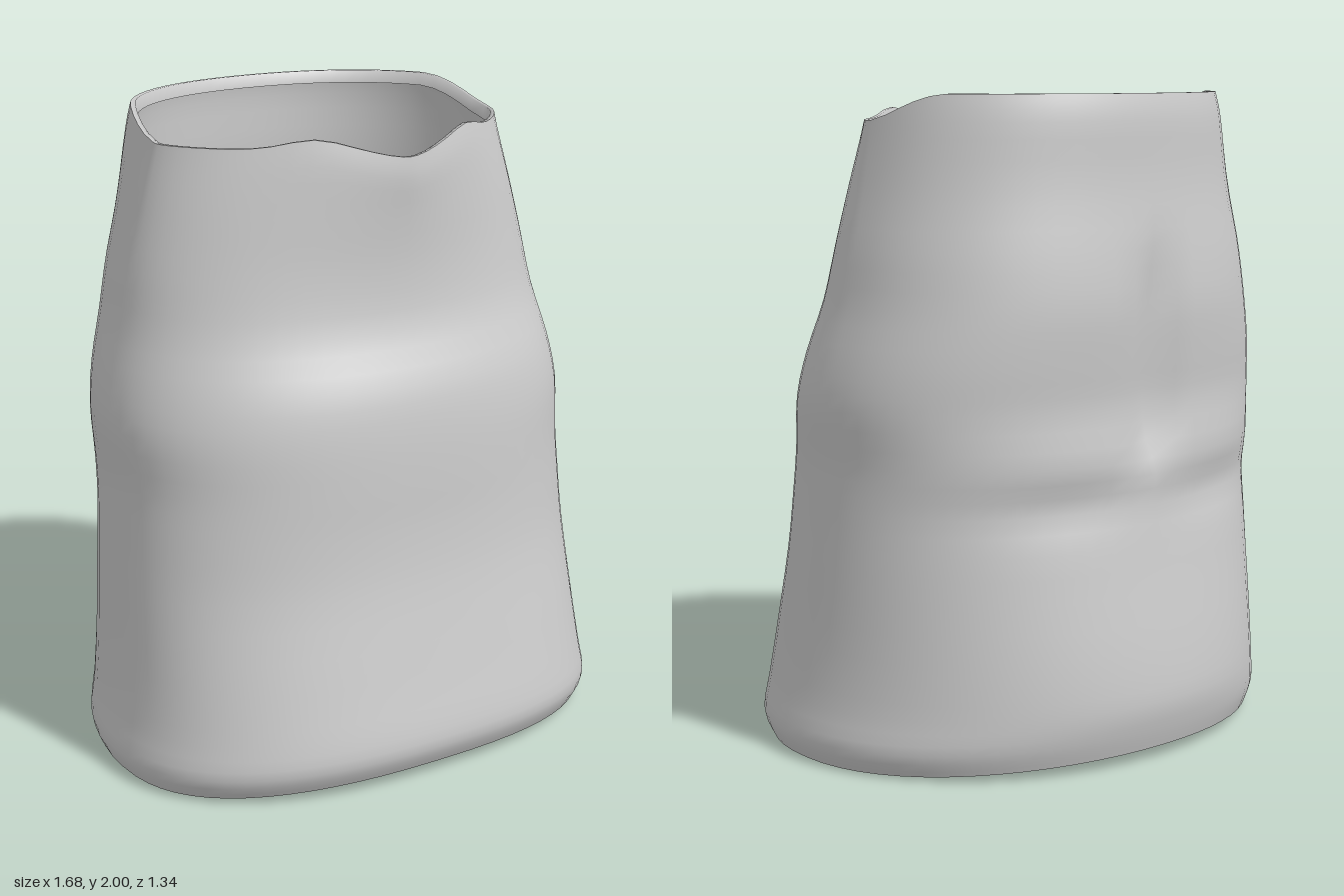
import * as THREE from 'three';

// Cross-sections from hem to waist:
// [height, half width, front z, back z, z of widest point, front roundness, back roundness]
const SECTIONS = [
  [0.00, 0.815, 0.64, -0.63, 0.08, 2.4, 2.05],
  [0.07, 0.84, 0.67, -0.65, 0.08, 2.4, 2.05],
  [0.18, 0.82, 0.66, -0.665, 0.08, 2.4, 2.05],
  [0.35, 0.80, 0.625, -0.65, 0.07, 2.4, 2.1],
  [0.60, 0.785, 0.575, -0.61, 0.05, 2.3, 2.15],
  [0.78, 0.775, 0.555, -0.59, 0.03, 2.3, 2.15],
  [0.92, 0.77, 0.55, -0.595, 0.02, 2.25, 2.2],
  [1.08, 0.78, 0.54, -0.575, 0.00, 2.2, 2.2],
  [1.22, 0.76, 0.515, -0.585, -0.02, 2.15, 2.2],
  [1.38, 0.72, 0.45, -0.595, -0.03, 2.1, 2.2],
  [1.55, 0.69, 0.43, -0.58, -0.03, 1.95, 2.2],
  [1.72, 0.65, 0.435, -0.555, -0.02, 1.75, 2.2],
  [1.85, 0.62, 0.445, -0.55, -0.01, 1.55, 2.2],
  [1.92, 0.605, 0.44, -0.535, 0.00, 1.45, 2.2],
];
const SIDES = 64, STEPS = 3;

const spow = (v, p) => Math.sign(v) * Math.abs(v) ** p;
const bump = (v, c, w) => Math.exp(-(((v - c) / w) ** 2));
const smooth = THREE.MathUtils.smoothstep;

// Smooth interpolation through the cross-sections
function sectionAt(t) {
  const i = Math.min(Math.floor(t), SECTIONS.length - 2), f = t - i;
  const at = k => SECTIONS[THREE.MathUtils.clamp(k, 0, SECTIONS.length - 1)];
  return SECTIONS[0].map((_, c) => {
    const p = at(i - 1)[c], q = at(i)[c], r = at(i + 1)[c], s = at(i + 2)[c];
    return q + 0.5 * f * (r - p + f * (2 * p - 5 * q + 4 * r - s + f * (3 * (q - r) + s - p)));
  });
}

// One point of the garment; angle 0 is the front, PI the back
function pointAt([y, a, zf, zb, zc, nf, nb], angle) {
  const s = Math.sin(angle), c = Math.cos(angle), n = c > 0 ? nf : nb;
  const x = a * spow(s, 2 / n);
  let z = zc + (c > 0 ? zf - zc : zb - zc) * Math.abs(c) ** (2 / n) * (c === 0 ? 0 : 1);
  // Cleft and under-seat fold at the back
  if (c < 0) {
    z += 0.05 * bump(x, 0, 0.06) * smooth(y, 0.85, 1.0) * (1 - smooth(y, 1.35, 1.65));
    z += 0.02 * bump(y, 0.8, 0.07) * bump(Math.abs(x), 0.3, 0.25);
  }
  // Arched hem, wavy waist rising towards the back
  const hem = 0.04 * c * c * (1 - smooth(y, 0, 0.3));
  const back = 0.08 * smooth(-z, -0.03, 0.28);
  const wave = c > 0 ? 0.03 * bump(Math.abs(x), 0.27, 0.1) - 0.03 * bump(x, 0, 0.12) : 0;
  const top = (back + wave) * smooth(y, 1.6, 1.92);
  return [x, Math.max(0, y + hem + top), z];
}

// Skin closed rings of points, bottom to top
function loft(rings) {
  const pos = rings.flat(2), index = [];
  for (let j = 0; j < rings.length - 1; j++) {
    for (let i = 0; i < SIDES; i++) {
      const k = (i + 1) % SIDES;
      const a = j * SIDES + i, b = j * SIDES + k, c = a + SIDES, d = b + SIDES;
      index.push(a, b, d, a, d, c);
    }
  }
  const g = new THREE.BufferGeometry();
  g.setAttribute('position', new THREE.Float32BufferAttribute(pos, 3));
  g.setIndex(index);
  g.computeVertexNormals();
  return g;
}

const ring = section => Array.from({ length: SIDES }, (_, i) => pointAt(section, (i / SIDES) * Math.PI * 2));

// Same ring pulled inwards and shifted in height, for turned edges
const turned = (section, inset, dy) =>
  ring(section).map(([x, y, z]) => [x * (1 - inset), y + dy, z * (1 - inset)]);

export function createModel() {
  const group = new THREE.Group();
  group.name = 'skirt';
  const cloth = new THREE.MeshStandardMaterial({ color: 0xcccccc, side: THREE.DoubleSide });
  cloth.name = 'light grey cloth';

  const add = (name, rings) => {
    const mesh = new THREE.Mesh(loft(rings), cloth);
    mesh.name = name;
    group.add(mesh);
  };

  // Main tube of cloth
  const body = [], count = (SECTIONS.length - 1) * STEPS;
  for (let j = 0; j <= count; j++) body.push(ring(sectionAt(j / STEPS)));
  add('skirtBody', body);

  // Edge turned in at the waist
  const waist = SECTIONS[SECTIONS.length - 1];
  add('waistEdge', [ring(waist), turned(waist, 0.025, 0), turned(waist, 0.035, -0.04)]);

  // Narrow edge turned in at the hem
  const hem = SECTIONS[0];
  add('hemEdge', [turned(hem, 0.02, 0.02), ring(hem)]);

  return group;
}
